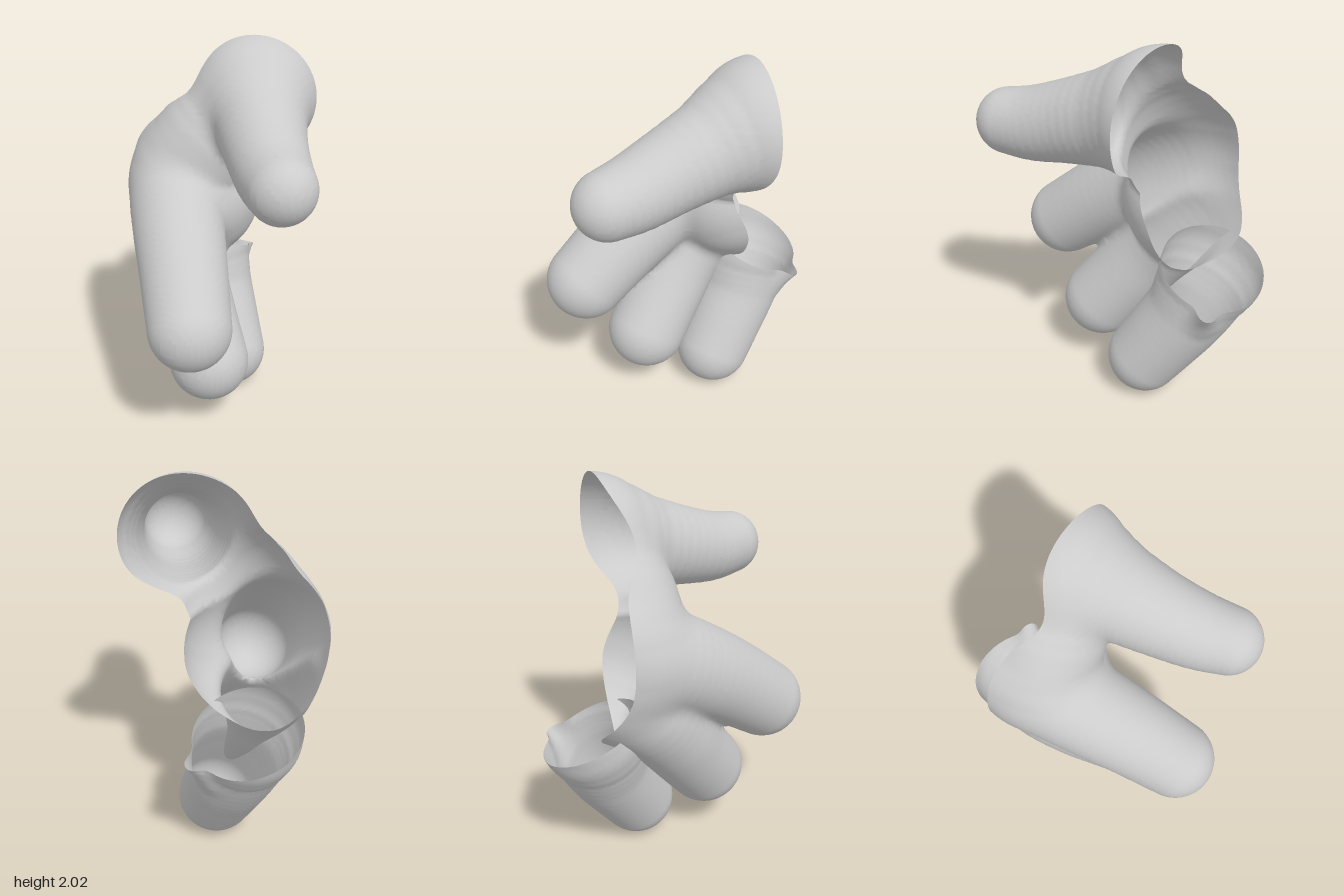
import * as THREE from 'three';

const material = new THREE.MeshStandardMaterial({ color: 0xcccccc, side: THREE.DoubleSide });
const CELL = 0.022;
const MIN = new THREE.Vector3(-0.8, -0.08, -0.85);
const SIZE = [70, 98, 72];

// Smooth limb: sections [x, y, z, radius] resampled into short tapering segments.
function limb(sections) {
  const path = new THREE.CatmullRomCurve3(sections.map((s) => new THREE.Vector3(s[0], s[1], s[2])));
  const radii = new THREE.CatmullRomCurve3(sections.map((s) => new THREE.Vector3(s[3], 0, 0)));
  return Array.from({ length: 19 }, (_, i) => ({ c: path.getPoint(i / 18), r: radii.getPoint(i / 18).x }));
}

// Signed distance from a point to one limb.
function limbDistance(beads, x, y, z) {
  let best = Infinity;
  for (let i = 0; i < beads.length - 1; i++) {
    const a = beads[i].c, b = beads[i + 1].c;
    const dx = b.x - a.x, dy = b.y - a.y, dz = b.z - a.z;
    const px = x - a.x, py = y - a.y, pz = z - a.z;
    const t = Math.min(1, Math.max(0, (px * dx + py * dy + pz * dz) / (dx * dx + dy * dy + dz * dz)));
    const r = beads[i].r + (beads[i + 1].r - beads[i].r) * t;
    best = Math.min(best, Math.sqrt((px - dx * t) ** 2 + (py - dy * t) ** 2 + (pz - dz * t) ** 2) - r);
  }
  return best;
}

// One skin blended over several limbs, left open where behind(p) > 0.
// Points just past the rim are pulled back onto it along the given direction.
function blendedSkin(limbs, blend, behind, direction) {
  const field = (x, y, z) => limbs.reduce((d, beads) => {
    const e = limbDistance(beads, x, y, z);
    const h = Math.max(blend - Math.abs(d - e), 0) / blend;
    return Math.min(d, e) - (h * h * blend) / 4;
  }, 10);
  const toSkin = (p) => {
    const e = 0.002, f = field(p.x, p.y, p.z);
    const g = new THREE.Vector3(
      field(p.x + e, p.y, p.z) - f, field(p.x, p.y + e, p.z) - f, field(p.x, p.y, p.z + e) - f,
    ).divideScalar(e);
    p.addScaledVector(g, -f / Math.max(g.lengthSq(), 0.3));
  };

  const [nx, ny, nz] = SIZE;
  const stride = [1, nx, nx * ny];
  const at = (i, j, k) => i + j * nx + k * nx * ny;
  const values = new Float32Array(nx * ny * nz);
  for (let k = 0; k < nz; k++) for (let j = 0; j < ny; j++) for (let i = 0; i < nx; i++) {
    values[at(i, j, k)] = field(MIN.x + i * CELL, MIN.y + j * CELL, MIN.z + k * CELL);
  }

  // One point per cell that the skin crosses, moved exactly onto the skin
  const ids = new Int32Array(values.length).fill(-1);
  const points = [], past = [];
  for (let k = 0; k < nz - 1; k++) for (let j = 0; j < ny - 1; j++) for (let i = 0; i < nx - 1; i++) {
    const cell = at(i, j, k);
    let inside = 0;
    for (let c = 0; c < 8; c++) {
      if (values[cell + (c & 1) + ((c >> 1) & 1) * nx + (c >> 2) * nx * ny] < 0) inside++;
    }
    if (inside === 0 || inside === 8) continue;
    const p = new THREE.Vector3(i + 0.5, j + 0.5, k + 0.5).multiplyScalar(CELL).add(MIN);
    for (let step = 0; step < 3; step++) toSkin(p);
    ids[cell] = points.length;
    points.push(p);
    past.push(behind(p) > 0);
  }

  // A quad around every grid edge that passes through the skin
  const index = [];
  for (let k = 1; k < nz - 1; k++) for (let j = 1; j < ny - 1; j++) for (let i = 1; i < nx - 1; i++) {
    const n = at(i, j, k);
    for (let axis = 0; axis < 3; axis++) {
      const solid = values[n] < 0;
      if (solid === values[n + stride[axis]] < 0) continue;
      const u = stride[(axis + 1) % 3], v = stride[(axis + 2) % 3];
      const quad = [n - u - v, n - v, n, n - u].map((c) => ids[c]);
      if (quad.every((q) => past[q])) continue;
      const [a, b, c, d] = solid ? quad : quad.reverse();
      index.push(a, b, c, a, c, d);
    }
  }

  // Keep only the points in use, and settle the edge ones on both rim and skin
  const used = [...new Set(index)];
  const renumber = new Map(used.map((old, i) => [old, i]));
  for (const i of used) {
    if (!past[i]) continue;
    for (let step = 0; step < 4; step++) {
      points[i].addScaledVector(direction, behind(points[i]));
      toSkin(points[i]);
    }
  }
  const geo = new THREE.BufferGeometry().setFromPoints(used.map((i) => points[i]));
  geo.setIndex(index.map((i) => renumber.get(i)));
  geo.computeVertexNormals();
  return geo;
}

export function createModel() {
  const group = new THREE.Group();
  const add = (name, geo) => {
    const mesh = new THREE.Mesh(geo, material);
    mesh.name = name;
    group.add(mesh);
  };

  const thumb = limb([
    [-0.08, 1.7, -0.58, 0.3], [0.01, 1.69, -0.38, 0.3], [0.14, 1.635, -0.18, 0.235], [0.26, 1.575, 0, 0.205],
    [0.38, 1.525, 0.16, 0.185], [0.47, 1.515, 0.27, 0.167],
  ]);
  const indexFinger = limb([
    [-0.39, 1.33, -0.3, 0.25], [-0.3, 1.21, -0.1, 0.255], [-0.19, 1.1, 0.08, 0.24],
    [-0.06, 0.96, 0.26, 0.225], [0.09, 0.77, 0.465, 0.21],
  ]);
  const middleFinger = limb([
    [-0.39, 1.12, -0.36, 0.24], [-0.31, 0.94, -0.16, 0.235], [-0.21, 0.75, -0.03, 0.22],
    [-0.1, 0.57, 0.06, 0.215], [0.025, 0.38, 0.155, 0.213],
  ]);
  // Body of the hand, from thumb to index finger and down the palm
  const palm = limb([
    [0, 1.69, -0.4, 0.3], [-0.18, 1.47, -0.29, 0.3], [-0.3, 1.25, -0.23, 0.31],
    [-0.26, 1.11, -0.27, 0.31], [-0.28, 1.03, -0.3, 0.27],
  ]);

  // Open rim at the back of the hand: a slanted plane with gentle waves
  const wave = (p, x, y, height) => height * Math.exp(-((p.x - x) ** 2 + (p.y - y) ** 2) / 0.04);
  const handRim = (p) => -0.387 - 0.367 * p.x - p.z
    + wave(p, 0.13, 1.32, 0.13) + wave(p, -0.28, 1.78, 0.12) + wave(p, -0.55, 0.85, -0.15);
  add('hand', blendedSkin([thumb, indexFinger, middleFinger, palm], 0.05, handRim, new THREE.Vector3(0, 0, 1)));

  // Separate little finger with a small torn lip on its open edge
  const littleFinger = limb([
    [-0.37, 0.92, -0.45, 0.25], [-0.3, 0.73, -0.395, 0.25], [-0.225, 0.54, -0.355, 0.225],
    [-0.13, 0.36, -0.285, 0.213], [-0.045, 0.205, -0.22, 0.203],
  ]);
  const lip = limb([[-0.2, 0.6, -0.52, 0.09], [-0.15, 0.71, -0.64, 0.045]]);
  const fingerRim = (p) => p.y - 0.79 - 0.45 * (p.z + 0.43);
  add('littleFinger', blendedSkin([littleFinger, lip], 0.05, fingerRim, new THREE.Vector3(0, -1, 0)));

  return group;
}
